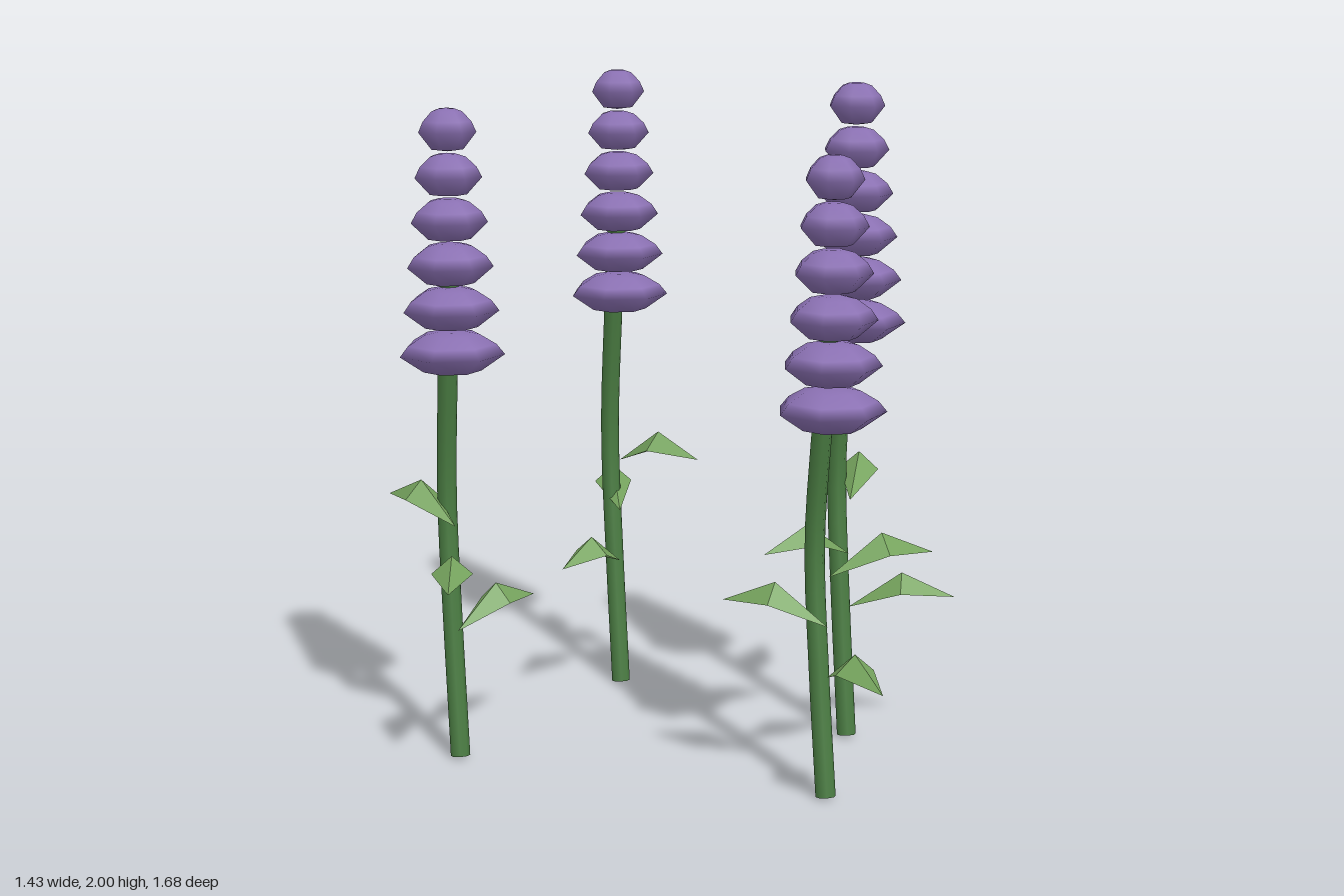
import * as THREE from 'three';

const mat = (name, color, extra = {}) => {
  const m = new THREE.MeshStandardMaterial({ color, ...extra });
  m.name = name;
  return m;
};

export function createModel() {
  const purple = mat('petal purple', 0x8a70b2);
  const stemGreen = mat('stem green', 0x4a7c42);
  const leafGreen = mat('leaf green', 0x76a45e, { side: THREE.DoubleSide, flatShading: true });

  // One blossom tier: seven-sided dome, unit radius, widest at y = 0
  const tierGeo = new THREE.LatheGeometry(
    [[0, -0.055], [0.55, -0.049], [1, 0], [0.84, 0.03], [0.53, 0.058], [0.26, 0.066], [0, 0.066]]
      .map(([r, y]) => new THREE.Vector2(r, y)), 7);
  tierGeo.rotateY(Math.PI / 2);

  // Folded leaf along +x: base, raised ridge, tip and two lower side corners
  const base = [0, 0, 0], ridge = [0.16, 0.115, 0], tip = [0.32, 0.045, 0];
  const near = [0.16, 0.062, 0.06], far = [0.16, 0.062, -0.06];
  const leafGeo = new THREE.BufferGeometry();
  leafGeo.setAttribute('position', new THREE.Float32BufferAttribute([
    base, near, ridge, near, tip, ridge, base, ridge, far, ridge, tip, far].flat(), 3));
  leafGeo.computeVertexNormals();

  const add = (parent, name, geo, material) => {
    const mesh = new THREE.Mesh(geo, material);
    mesh.name = name;
    parent.add(mesh);
    return mesh;
  };

  function makePlant(x, z, h, index) {
    const plant = new THREE.Group();
    plant.name = 'flowerPlant' + (index + 1);
    plant.position.set(x, 0, z);

    // Bowed stem with closed ends
    const curve = new THREE.CatmullRomCurve3([
      [0, 0.005, 0], [0.034, 0.33 * h, -0.057], [0.055, 0.64 * h, -0.093],
      [0.034, 0.95 * h, -0.055], [0.005, h + 0.23, -0.01],
    ].map(p => new THREE.Vector3(...p)));
    add(plant, 'stem', new THREE.TubeGeometry(curve, 14, 0.029, 8), stemGreen);
    for (const t of [0, 1]) {
      const cap = add(plant, 'stemEnd', new THREE.CircleGeometry(0.029, 8), stemGreen);
      cap.position.copy(curve.getPointAt(t));
      const dir = curve.getTangentAt(t).multiplyScalar(t ? 1 : -1);
      cap.quaternion.setFromUnitVectors(new THREE.Vector3(0, 0, 1), dir);
    }

    // Leaves spiral up the stem
    for (let k = 0; k < 3; k++) {
      const leaf = add(plant, 'leaf', leafGeo, leafGreen);
      leaf.position.y = h * (0.32 + 0.13 * k);
      leaf.rotation.y = -(index + 2.4 * k);
    }

    // Stacked blossom tiers, shrinking upward
    for (let k = 0; k < 6; k++) {
      const tier = add(plant, 'blossomTier', tierGeo, purple);
      const r = 0.155 - 0.0142 * k;
      tier.position.y = h + 0.1275 * k;
      tier.scale.set(r, 1, r);
    }
    return plant;
  }

  const model = new THREE.Group();
  model.name = 'flowerSpikes';
  // x, z and height of the lowest blossom tier
  [[-0.48, -0.48, 1.23], [0.43, 0.28, 1.29], [-0.025, 0.55, 1.13], [0.355, -0.595, 1.297]]
    .forEach(([x, z, h], i) => model.add(makePlant(x, z, h, i)));
  return model;
}
